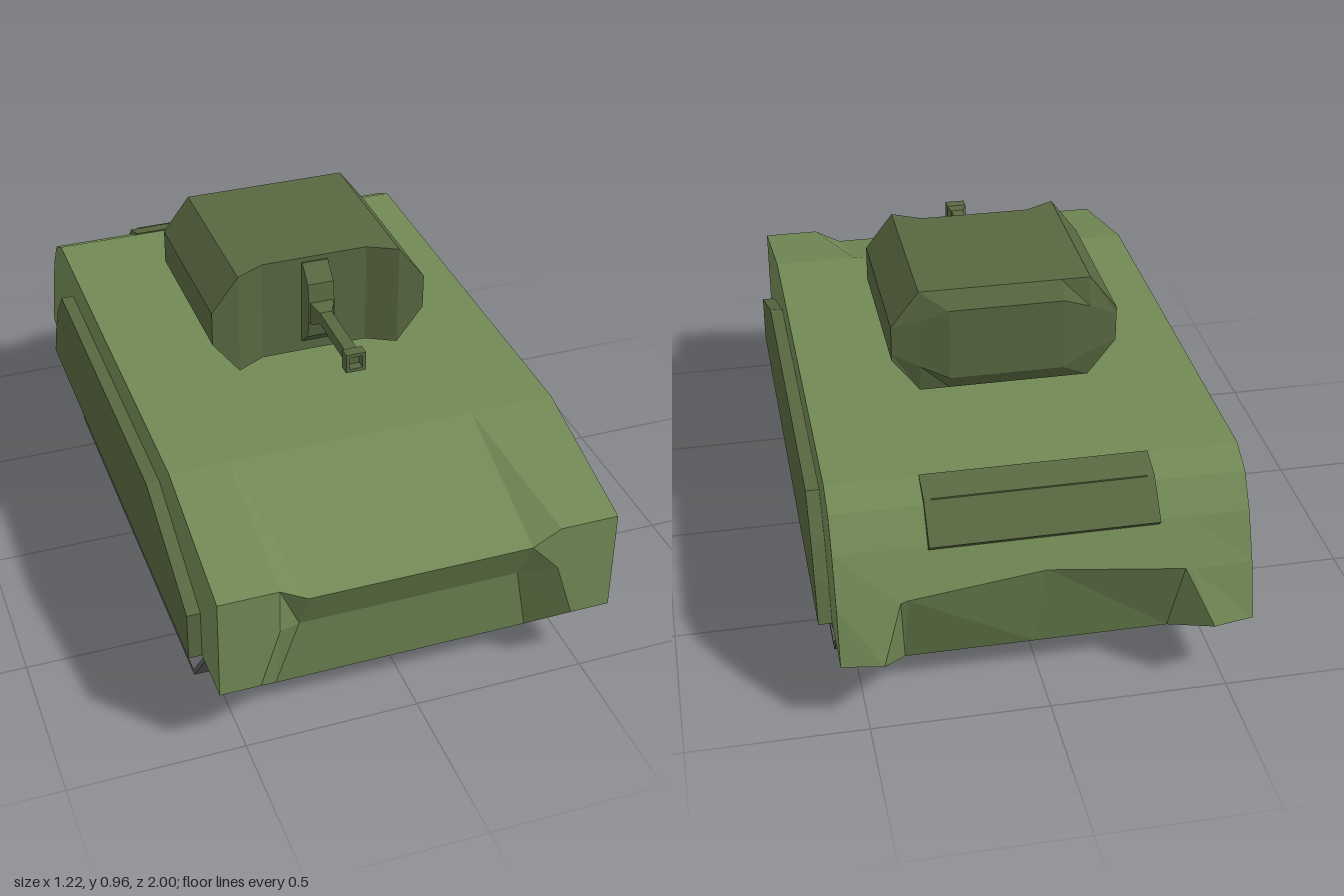
import * as THREE from 'three';

const paint = (color) => new THREE.MeshStandardMaterial({ color, flatShading: true });
const hullGreen = paint(0x718955);
const darkGreen = paint(0x586841);
const wheelGrey = paint(0x5e5e5e);
const trackGrey = paint(0x5e5e60);

function part(group, name, geometry, material, x = 0, y = 0, z = 0) {
  const mesh = new THREE.Mesh(geometry, material);
  mesh.name = name;
  mesh.position.set(x, y, z);
  group.add(mesh);
  return mesh;
}

// Skins mirrored cross-sections, given from the outer +x side inwards,
// each running counter-clockwise as seen from +x
function mirroredLoft(half) {
  const flip = (s) => s.map(([x, y, z]) => [-x, y, z]);
  const sections = [...half, ...half.map(flip).reverse()];
  const n = half[0].length, out = [];
  const tri = (...corners) => corners.forEach((c) => out.push(...c));
  for (let k = 0; k < sections.length - 1; k++) {
    const s = sections[k], t = sections[k + 1];
    for (let i = 0; i < n; i++) {
      const j = (i + 1) % n;
      tri(s[i], t[i], s[j]);
      tri(s[j], t[i], t[j]);
    }
  }
  const first = sections[0], last = sections[sections.length - 1];
  for (let i = 1; i < n - 1; i++) {
    tri(first[0], first[i], first[i + 1]);
    tri(last[0], last[i + 1], last[i]);
  }
  const geometry = new THREE.BufferGeometry();
  geometry.setAttribute('position', new THREE.Float32BufferAttribute(out, 3));
  geometry.computeVertexNormals();
  return geometry;
}

// Extrudes a [z, y] side profile across x, centred on x = 0
function sideExtrude(points, width) {
  const shape = new THREE.Shape(points.map(([z, y]) => new THREE.Vector2(z, y)));
  const geometry = new THREE.ExtrudeGeometry(shape, { depth: width, bevelEnabled: false });
  return geometry.translate(0, 0, -width / 2).rotateY(-Math.PI / 2);
}

// Square bar along z, tapering from half-width r0 at z0 to r1 at z1
function squareBar(r0, r1, z0, z1) {
  const g = new THREE.CylinderGeometry(r1 * Math.SQRT2, r0 * Math.SQRT2, z1 - z0, 4);
  return g.rotateY(Math.PI / 4).rotateX(Math.PI / 2).translate(0, 0, (z0 + z1) / 2);
}

function createHull(group) {
  // Each section runs deck rear, deck front, nose, belly, tail
  const outer = [
    [0.57, 0.63, -0.74], [0.57, 0.63, 0.56], [0.57, 0.52, 1], [0.57, 0.37, 1], [0.57, 0.21, 1],
    [0.57, 0.21, -0.98], [0.57, 0.37, -0.935], [0.57, 0.5, -0.88], [0.57, 0.59, -0.82],
  ];
  const shoulder = [
    [0.4, 0.63, -0.74], [0.4, 0.63, 0.56], [0.4, 0.52, 1], [0.4, 0.385, 1], [0.455, 0.21, 1],
    [0.455, 0.21, -1], [0.4, 0.37, -0.945], [0.4, 0.5, -0.88], [0.4, 0.59, -0.82],
  ];
  const inner = [
    [0.32, 0.63, -0.74], [0.32, 0.63, 0.56], [0.32, 0.475, 1], [0.32, 0.325, 0.92], [0.375, 0.09, 0.88],
    [0.375, 0.09, -0.82], [0.38, 0.375, -0.943], [0.32, 0.5, -0.88], [0.32, 0.59, -0.82],
  ];
  // Tail edge dips forward slightly at the centreline
  const centre = inner.map(([x, y, z], i) => (i === 6 ? [0.005, 0.41, -0.925] : [0.005, y, z]));
  part(group, 'hull', mirroredLoft([outer, shoulder, inner, centre]), hullGreen);

  part(group, 'rearHatch', sideExtrude([
    [-0.74, 0.634], [-0.74, 0.6], [-0.87, 0.475], [-0.905, 0.51], [-0.82, 0.607],
  ], 0.63), darkGreen);
  part(group, 'hatchSeam', new THREE.BoxGeometry(0.59, 0.004, 0.004), darkGreen, 0, 0.607, -0.82);

  const skirt = sideExtrude([
    [0.835, 0.21], [0.835, 0.36], [0.45, 0.525], [-0.6, 0.525], [-0.69, 0.42], [-0.745, 0.32], [-0.79, 0.21],
  ], 0.04);
  for (const side of [1, -1]) {
    part(group, side > 0 ? 'leftSkirt' : 'rightSkirt', skirt, darkGreen, side * 0.588);
  }
}

function createRunningGear(side) {
  const gear = new THREE.Group();
  gear.name = side > 0 ? 'leftRunningGear' : 'rightRunningGear';
  gear.position.x = side * 0.48;

  // Thin belt that rises into the hull at both ends
  part(gear, 'track', sideExtrude([
    [0.85, 0.212], [0.685, 0.002], [-0.645, 0.002], [-0.825, 0.212],
    [-0.808, 0.212], [-0.638, 0.016], [0.678, 0.016], [0.832, 0.212],
  ], 0.15), trackGrey);

  // Road wheels with a dished rim and raised hub
  const profile = [
    [0, -0.07], [0.094, -0.07], [0.094, 0.068], [0.09, 0.071], [0.062, 0.071],
    [0.056, 0.055], [0.044, 0.055], [0.04, 0.063], [0.026, 0.063], [0, 0.063],
  ].map(([r, h]) => new THREE.Vector2(r, h));
  const wheel = new THREE.LatheGeometry(profile, 24).rotateZ(-side * Math.PI / 2);
  for (const z of [0.585, 0.3, 0.02, -0.265, -0.545]) {
    part(gear, 'roadWheel', wheel, wheelGrey, 0, 0.11, z);
  }
  const idler = new THREE.CylinderGeometry(0.07, 0.07, 0.14, 20).rotateZ(Math.PI / 2);
  for (const z of [0.78, -0.755]) part(gear, 'endWheel', idler, wheelGrey, 0, 0.265, z);
  return gear;
}

function createTurret() {
  const turret = new THREE.Group();
  turret.name = 'turret';
  // Sections run roof rear, roof front, floor front, floor rear, back lower, back upper
  part(turret, 'turretBody', mirroredLoft([
    [[0.325, 0.86, -0.335], [0.325, 0.86, 0.17], [0.325, 0.755, 0.17],
      [0.325, 0.755, -0.335], [0.325, 0.775, -0.335], [0.325, 0.84, -0.335]],
    [[0.245, 0.965, -0.335], [0.245, 0.965, 0.17], [0.245, 0.65, 0.17],
      [0.245, 0.65, -0.335], [0.245, 0.735, -0.352], [0.245, 0.88, -0.352]],
    [[0.16, 0.965, -0.335], [0.16, 0.965, 0.125], [0.16, 0.65, 0.125],
      [0.16, 0.65, -0.335], [0.165, 0.7, -0.37], [0.165, 0.915, -0.37]],
  ]), darkGreen);
  part(turret, 'turretRing', new THREE.CylinderGeometry(0.175, 0.175, 0.04, 24), darkGreen, 0, 0.635, -0.1);

  // Rounded mantlet in the recessed turret front
  part(turret, 'mantlet', sideExtrude([
    [0.11, 0.95], [0.11, 0.685], [0.13, 0.685], [0.18, 0.73], [0.19, 0.785],
    [0.19, 0.845], [0.18, 0.905], [0.13, 0.95],
  ], 0.078), darkGreen);

  const gun = new THREE.Group();
  gun.name = 'gun';
  gun.position.y = 0.815;
  part(gun, 'gunCollar', squareBar(0.035, 0.032, 0.18, 0.205), darkGreen);
  part(gun, 'gunTaper', squareBar(0.032, 0.018, 0.205, 0.225), darkGreen);
  part(gun, 'barrel', squareBar(0.018, 0.018, 0.2, 0.45), darkGreen);
  part(gun, 'muzzleTaper', squareBar(0.018, 0.029, 0.43, 0.442), darkGreen);
  // Hollow square muzzle
  const muzzle = new THREE.Shape([[-1, -1], [1, -1], [1, 1], [-1, 1]]
    .map(([x, y]) => new THREE.Vector2(x * 0.029, y * 0.029)));
  muzzle.holes.push(new THREE.Path([[-1, -1], [-1, 1], [1, 1], [1, -1]]
    .map(([x, y]) => new THREE.Vector2(x * 0.019, y * 0.019))));
  part(gun, 'muzzle', new THREE.ExtrudeGeometry(muzzle, { depth: 0.033, bevelEnabled: false }),
    darkGreen, 0, 0, 0.442);
  turret.add(gun);
  return turret;
}

export function createModel() {
  const model = new THREE.Group();
  model.name = 'armouredVehicle';
  createHull(model);
  model.add(createRunningGear(1), createRunningGear(-1), createTurret());
  return model;
}
